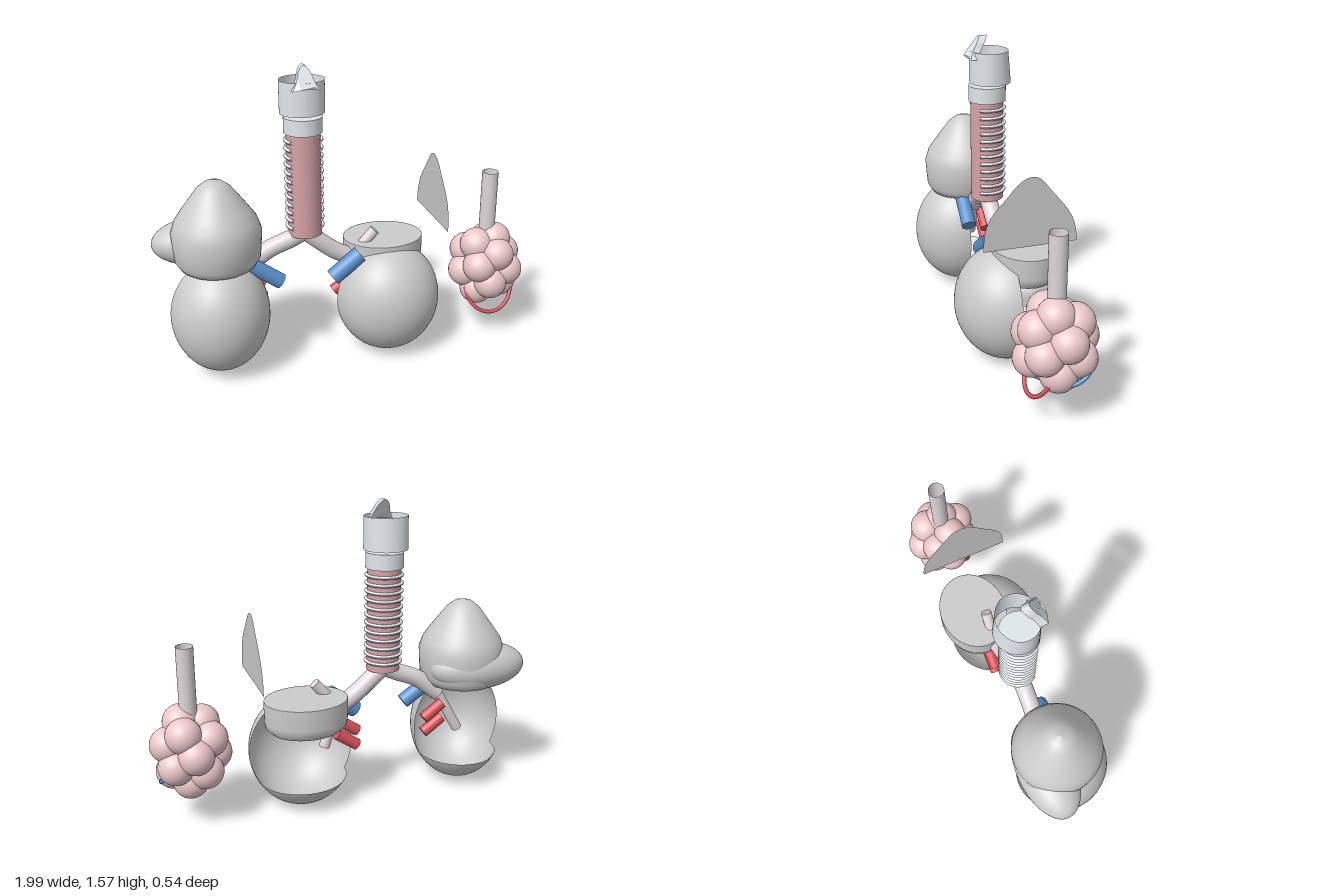
import * as THREE from 'three';

const V = (p) => new THREE.Vector3(...p);
const mat = (color) => new THREE.MeshStandardMaterial({ color, side: THREE.DoubleSide });

export function createModel() {
  const model = new THREE.Group();
  const lungMat = mat(0xcccccc), cartilage = mat(0xdfe6ea), airway = mat(0xded6da);
  const muscle = mat(0xd6a3a6), sacMat = mat(0xecc8c9), blue = mat(0x5b93d0), red = mat(0xd9525a);

  const add = (name, geometry, material, pos = [0, 0, 0], scale = [1, 1, 1], parent = model) => {
    const mesh = new THREE.Mesh(geometry, material);
    mesh.name = name;
    mesh.position.set(...pos);
    mesh.scale.set(...scale);
    parent.add(mesh);
    return mesh;
  };
  // Straight capped cylinder between two points
  const rod = (name, a, b, r, material) => {
    const d = V(b).sub(V(a));
    const m = add(name, new THREE.CylinderGeometry(r, r, d.length(), 24), material);
    m.position.copy(V(a).add(V(b)).multiplyScalar(0.5));
    m.quaternion.setFromUnitVectors(new THREE.Vector3(0, 1, 0), d.normalize());
  };
  const tube = (name, pts, r, material) =>
    add(name, new THREE.TubeGeometry(new THREE.CatmullRomCurve3(pts.map(V)), 32, r, 16), material);
  const lathe = (pts) => new THREE.LatheGeometry(pts.map((p) => new THREE.Vector2(...p)), 48);

  // Trachea with C-shaped rings open at +z
  const tx = -0.23, tz = -0.033;
  add('trachea', new THREE.CylinderGeometry(0.085, 0.085, 0.54, 40), muscle, [tx, 0.975, tz]);
  const arc = Math.PI * 1.42;
  for (let i = 0; i < 12; i++) {
    const ring = new THREE.TorusGeometry(0.09, 0.009, 10, 40, arc);
    ring.rotateZ(Math.PI * 1.5 - arc / 2);
    ring.rotateX(-Math.PI / 2);
    ring.rotateY(Math.PI);
    // middle of the arc faces -z
    ring.rotateY(Math.PI);
    ring.scale(1, 1, -1);
    ring.computeVertexNormals();
    const box = ring.computeBoundingBox() || ring.boundingBox;
    if (box.max.z > 0.095) ring.rotateY(Math.PI);
    add('trachealRing', ring, cartilage, [tx, 1.203 - i * 0.041, tz]);
  }

  // Larynx: ring cartilage, shield cartilage and leaf-shaped flap
  add('cricoidCartilage', new THREE.CylinderGeometry(0.096, 0.096, 0.08, 40), cartilage, [tx, 1.28, -0.035]);
  const shield = new THREE.CylinderGeometry(0.112, 0.112, 0.165, 48, 6, true);
  const sp = shield.attributes.position;
  for (let i = 0; i < sp.count; i++) {
    const z = sp.getZ(i), y = sp.getY(i);
    if (z < 0) sp.setZ(i, z * (0.93 - 0.8 * y));
    else sp.setZ(i, z * 0.89);
  }
  shield.computeVertexNormals();
  add('thyroidCartilage', shield, cartilage, [tx, 1.4175, -0.045]);

  const leaf = new THREE.Shape();
  leaf.moveTo(-0.068, 0);
  leaf.quadraticCurveTo(-0.045, 0.03, -0.032, 0.075);
  leaf.quadraticCurveTo(0, 0.145, 0.032, 0.075);
  leaf.quadraticCurveTo(0.045, 0.03, 0.068, 0);
  leaf.quadraticCurveTo(0, 0.02, -0.068, 0);
  const flap = new THREE.ExtrudeGeometry(leaf, { depth: 0.04, bevelEnabled: false, curveSegments: 14 });
  const fp = flap.attributes.position;
  for (let i = 0; i < fp.count; i++) {
    const x = fp.getX(i), y = fp.getY(i);
    fp.setZ(i, fp.getZ(i) + 0.05 - 0.75 * y - 5 * x * x);
  }
  flap.computeVertexNormals();
  add('epiglottis', flap, cartilage, [tx, 1.465, 0]);

  // Bronchi and their branches
  tube('rightBronchus', [[-0.22, 0.72, -0.035], [-0.3, 0.68, -0.035], [-0.42, 0.63, -0.04], [-0.54, 0.54, -0.05]], 0.046, airway);
  tube('leftBronchus', [[-0.24, 0.72, -0.035], [-0.17, 0.66, -0.035], [-0.07, 0.58, -0.04], [0.04, 0.52, -0.05]], 0.046, airway);
  rod('rightLowerBranch', [-0.53, 0.55, -0.05], [-0.66, 0.32, -0.06], 0.028, airway);
  rod('rightUpperBranch', [-0.5, 0.57, -0.05], [-0.62, 0.69, -0.04], 0.028, airway);
  rod('leftLowerBranch', [0.03, 0.53, -0.05], [0.1, 0.32, -0.06], 0.028, airway);
  rod('leftUpperBranch', [0.02, 0.53, -0.05], [0.145, 0.67, -0.045], 0.028, airway);

  // Vessels entering each lung
  rod('rightVein', [-0.57, 0.615, 0.02], [-0.375, 0.475, 0.03], 0.04, blue);
  rod('leftVein', [0.045, 0.575, 0.03], [-0.105, 0.465, 0.04], 0.045, blue);
  for (const dy of [0, -0.08]) {
    rod('rightArtery', [-0.55, 0.49 + dy, -0.09], [-0.445, 0.415 + dy, -0.09], 0.03, red);
    rod('leftArtery', [0.04, 0.475 + dy, -0.09], [-0.07, 0.4 + dy, -0.09], 0.03, red);
  }

  // Lower lobes: full bowl below the cut, only the front half above it
  const lowerLobe = (name, pos, scale, cutY) => {
    const g = new THREE.Group();
    g.name = name;
    model.add(g);
    const t = Math.acos((cutY - pos[1]) / scale[1]);
    add('frontShell', new THREE.SphereGeometry(1, 32, 24, 0, Math.PI, 0, t), lungMat, pos, scale, g);
    add('bowl', new THREE.SphereGeometry(1, 64, 14, 0, Math.PI * 2, t, Math.PI - t), lungMat, pos, scale, g);
  };
  lowerLobe('rightLowerLobe', [-0.688, 0.325, 0], [0.252, 0.307, 0.262], 0.17);
  lowerLobe('leftLowerLobe', [0.205, 0.305, 0], [0.277, 0.3, 0.265], 0.15);

  // Right upper lobe with a bulge to the side and back
  add('rightUpperLobe', lathe([[0, 0.59], [0.19, 0.59], [0.215, 0.63], [0.221, 0.7], [0.225, 0.77],
    [0.205, 0.83], [0.17, 0.88], [0.13, 0.935], [0.085, 0.995], [0.045, 1.026], [0, 1.037]]), lungMat, [-0.68, 0, -0.03]);
  add('rightMiddleLobe', new THREE.SphereGeometry(1, 40, 28), lungMat, [-0.735, 0.69, -0.115], [0.265, 0.125, 0.145]);

  // Left upper lobe: flat-topped oval drum with rounded underside
  add('leftUpperLobe', lathe([[0, 0.44], [0.13, 0.442], [0.18, 0.45], [0.207, 0.475], [0.214, 0.51],
    [0.214, 0.612], [0.2135, 0.615], [0.212, 0.615], [0, 0.615]]), lungMat, [0.205, 0, -0.095], [1, 1, 0.82]);

  // Thin upright sheet beside the left lung
  const bell = new THREE.Shape();
  bell.moveTo(-0.195, 0.72);
  bell.bezierCurveTo(-0.197, 0.88, -0.15, 0.9, -0.07, 0.99);
  bell.bezierCurveTo(0, 1.082, 0.06, 1.082, 0.1, 1.03);
  bell.bezierCurveTo(0.19, 0.91, 0.262, 0.87, 0.265, 0.72);
  const sheet = new THREE.ShapeGeometry(bell, 16);
  sheet.rotateY(Math.PI / 2);
  add('leftApexSheet', sheet, lungMat, [0.46, 0, 0]);

  // Air sac cluster on an open stalk
  const cx = 0.785, cz = -0.04;
  add('airSacStalk', new THREE.CylinderGeometry(0.043, 0.043, 0.36, 32, 1, true), airway, [cx, 0.755, cz]);
  const n = 16;
  for (let i = 0; i < n; i++) {
    const h = 1 - (2 * i + 1) / n, r = Math.sqrt(1 - h * h), a = i * 2.39996 + 0.4;
    add('airSac', new THREE.SphereGeometry(0.09, 28, 20), sacMat,
      [cx + 0.118 * r * Math.cos(a), 0.4 + 0.158 * h, cz + 0.12 * r * Math.sin(a)]);
  }
  // Capillaries looping round the cluster
  const loop = [];
  for (let i = 0; i <= 8; i++) {
    const a = (Math.PI * i) / 8;
    loop.push([cx - 0.135 * Math.cos(a), 0.295 - 0.14 * Math.sin(a), 0.02 + 0.07 * Math.sin(a)]);
  }
  tube('redCapillary', loop, 0.01, red);
  tube('blueCapillary', [[0.91, 0.255, 0], [0.94, 0.262, -0.06], [0.94, 0.295, -0.13], [0.9, 0.37, -0.185]], 0.01, blue);
  return model;
}
